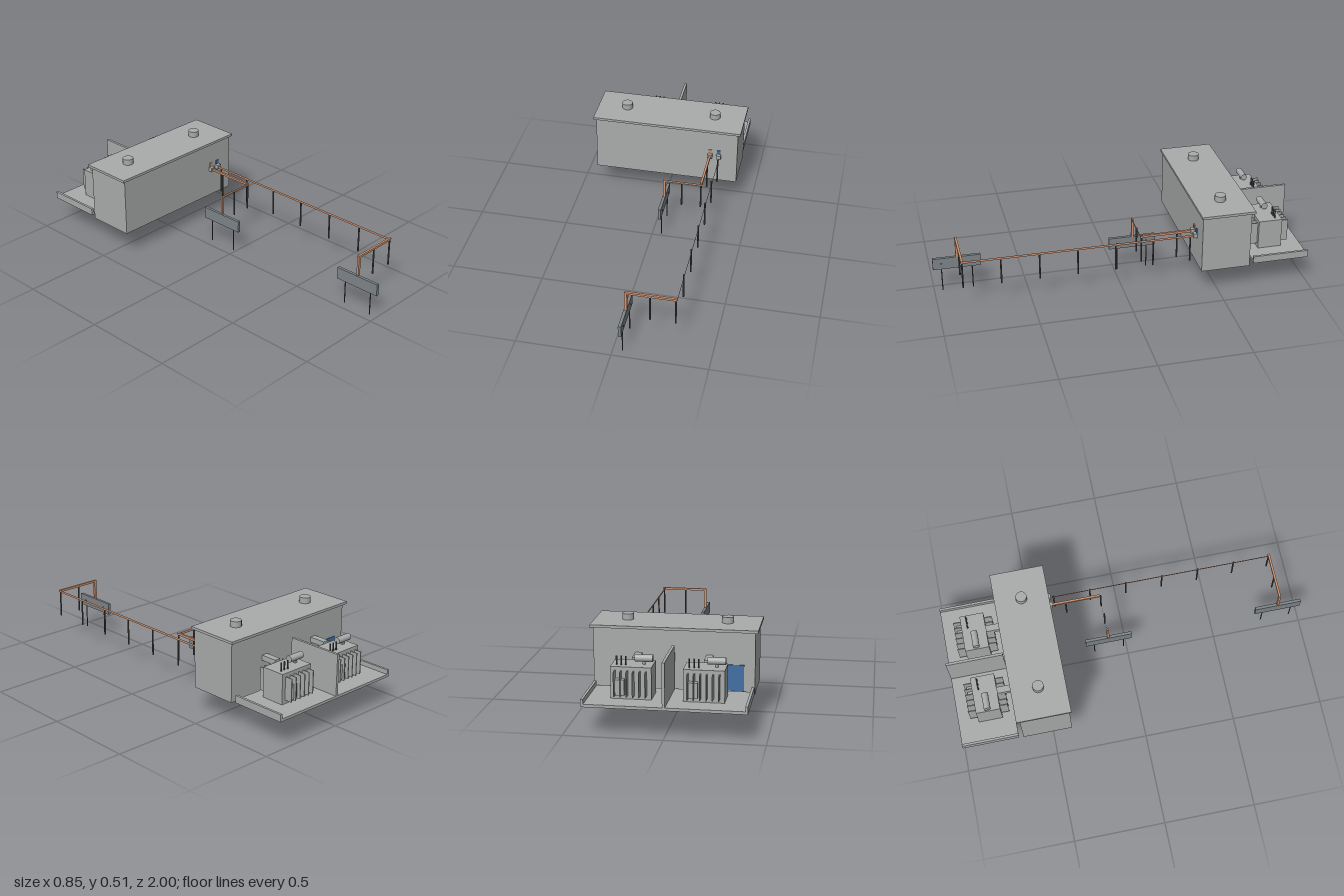
import * as THREE from 'three';

const mat = (name, color) => Object.assign(new THREE.MeshStandardMaterial({ color }), { name });

export function createModel() {
  const root = new THREE.Group();
  root.name = 'substation';
  const concrete = mat('concrete grey', 0xa9acab);
  const copper = mat('copper orange', 0xcf9370);
  const steel = mat('dark steel', 0x515254);
  const panelGrey = mat('panel slate', 0x7e8589);
  const blue = mat('blue', 0x426fa3);

  function add(parent, name, geo, material, x = 0, y = 0, z = 0) {
    const m = new THREE.Mesh(geo, material);
    m.name = name;
    m.position.set(x, y, z);
    parent.add(m);
    return m;
  }
  // Box from its minimum and maximum corners
  function box(parent, name, material, [x0, x1], [y0, y1], [z0, z1], openTop = false) {
    const g = new THREE.BoxGeometry(x1 - x0, y1 - y0, z1 - z0);
    if (openTop) {
      const idx = Array.from(g.index.array);
      idx.splice(12, 6); // drop the upper face
      g.clearGroups();
      g.setIndex(idx);
    }
    return add(parent, name, g, material, (x0 + x1) / 2, (y0 + y1) / 2, (z0 + z1) / 2);
  }
  function post(parent, name, x, y0, y1, z, r) {
    add(parent, name, new THREE.CylinderGeometry(r, r, y1 - y0, 10), steel, x, (y0 + y1) / 2, z);
  }

  // Control building
  const building = new THREE.Group();
  building.name = 'building';
  root.add(building);
  box(building, 'walls', concrete, [-0.41, 0.41], [0.142, 0.466], [-0.665, -0.397]);
  box(building, 'roof', concrete, [-0.425, 0.425], [0.464, 0.478], [-0.682, -0.388]);
  for (const x of [-0.257, 0.255])
    add(building, 'roofVent', new THREE.CylinderGeometry(0.03, 0.03, 0.032, 16), concrete, x, 0.494, -0.535);
  box(building, 'door', blue, [-0.355, -0.255], [0.16, 0.295], [-0.669, -0.663]);

  // Wall outlets for the two conductor runs
  [[0.255, copper], [0.305, blue]].forEach(([x, m]) => {
    box(building, 'outlet', concrete, [x - 0.013, x + 0.013], [0.298, 0.323], [-0.398, -0.375]);
    box(building, 'outletMarker', m, [x - 0.01, x + 0.01], [0.325, 0.347], [-0.398, -0.392]);
  });

  // Yard slab with end curbs and tall dividing wall
  const yard = new THREE.Group();
  yard.name = 'yard';
  root.add(yard);
  box(yard, 'slab', concrete, [-0.41, 0.405], [0.15, 0.165], [-1, -0.69]);
  box(yard, 'curb', concrete, [-0.41, -0.397], [0.15, 0.19], [-1, -0.69]);
  box(yard, 'curb', concrete, [0.392, 0.405], [0.15, 0.19], [-1, -0.69]);
  box(yard, 'dividingWall', concrete, [-0.009, 0.005], [0.15, 0.39], [-1, -0.69]);

  // Transformers with cooling fins, tank, bushings and duct
  for (const x of [-0.183, 0.177]) {
    const t = new THREE.Group();
    t.name = 'transformer';
    t.position.x = x;
    root.add(t);
    box(t, 'transformerBody', concrete, [-0.102, 0.102], [0.165, 0.328], [-0.888, -0.757]);
    for (let i = 0; i < 6; i++) {
      const fx = -0.077 + i * 0.031;
      box(t, 'coolingFin', concrete, [fx - 0.0025, fx + 0.0025], [0.185, 0.31], [-0.93, -0.887]);
      box(t, 'coolingFin', concrete, [fx - 0.0025, fx + 0.0025], [0.185, 0.31], [-0.758, -0.715]);
    }
    box(t, 'controlCabinet', concrete, [0.028, 0.074], [0.19, 0.27], [-0.918, -0.887]);
    const tank = add(t, 'oilTank', new THREE.CylinderGeometry(0.018, 0.018, 0.09, 20), concrete, -0.055, 0.358, -0.823);
    tank.rotation.z = Math.PI / 2;
    box(t, 'tankFoot', concrete, [-0.062, -0.048], [0.326, 0.345], [-0.83, -0.816]);
    for (const bx of [0.03, 0.053, 0.076])
      add(t, 'bushing', new THREE.CylinderGeometry(0.004, 0.004, 0.046, 10), steel, bx, 0.35, -0.853);
    box(t, 'cableDuct', concrete, [-0.018, 0.018], [0.312, 0.34], [-0.757, -0.66]);
  }

  // Conductor runs: out from the wall, across, then down to a panel
  const runs = [
    { x: 0.255, z: -0.103, openRun: false, openCross: true, mid: 0.147, posts: [-0.103, -0.3] },
    { x: 0.305, z: 0.868, openRun: true, openCross: false, mid: 0.173, posts: [0.868, 0.665, 0.46, 0.255, 0.05, -0.155, -0.36] },
  ];
  for (const r of runs) {
    const g = new THREE.Group();
    g.name = 'conductorRun';
    root.add(g);
    const h = 0.006, Y = [0.304, 0.316];
    box(g, 'longConductor', copper, [r.x - h, r.x + h], Y, [-0.385, r.z - h], r.openRun);
    box(g, 'crossConductor', copper, [0.043, r.x + h], Y, [r.z - h, r.z + h], r.openCross);
    box(g, 'dropConductor', copper, [0.043, 0.057], [0.198, 0.304], [r.z - h, r.z + h]);
    for (const z of r.posts) post(g, 'supportPost', r.x, 0.157, 0.304, z, 0.0045);
    post(g, 'supportPost', r.mid, 0.157, 0.304, r.z, 0.0045);

    // Panel on two legs
    box(g, 'panel', panelGrey, [0.039, 0.055], [0.133, 0.199], [r.z - 0.128, r.z + 0.132]);
    for (const dz of [-0.08, 0.086]) {
      post(g, 'panelLeg', 0.05, 0, 0.135, r.z + dz, 0.003);
      const bolt = add(g, 'panelBolt', new THREE.CylinderGeometry(0.004, 0.004, 0.004, 10), steel, 0.056, 0.166, r.z + dz);
      bolt.rotation.z = Math.PI / 2;
    }
  }
  return root;
}
